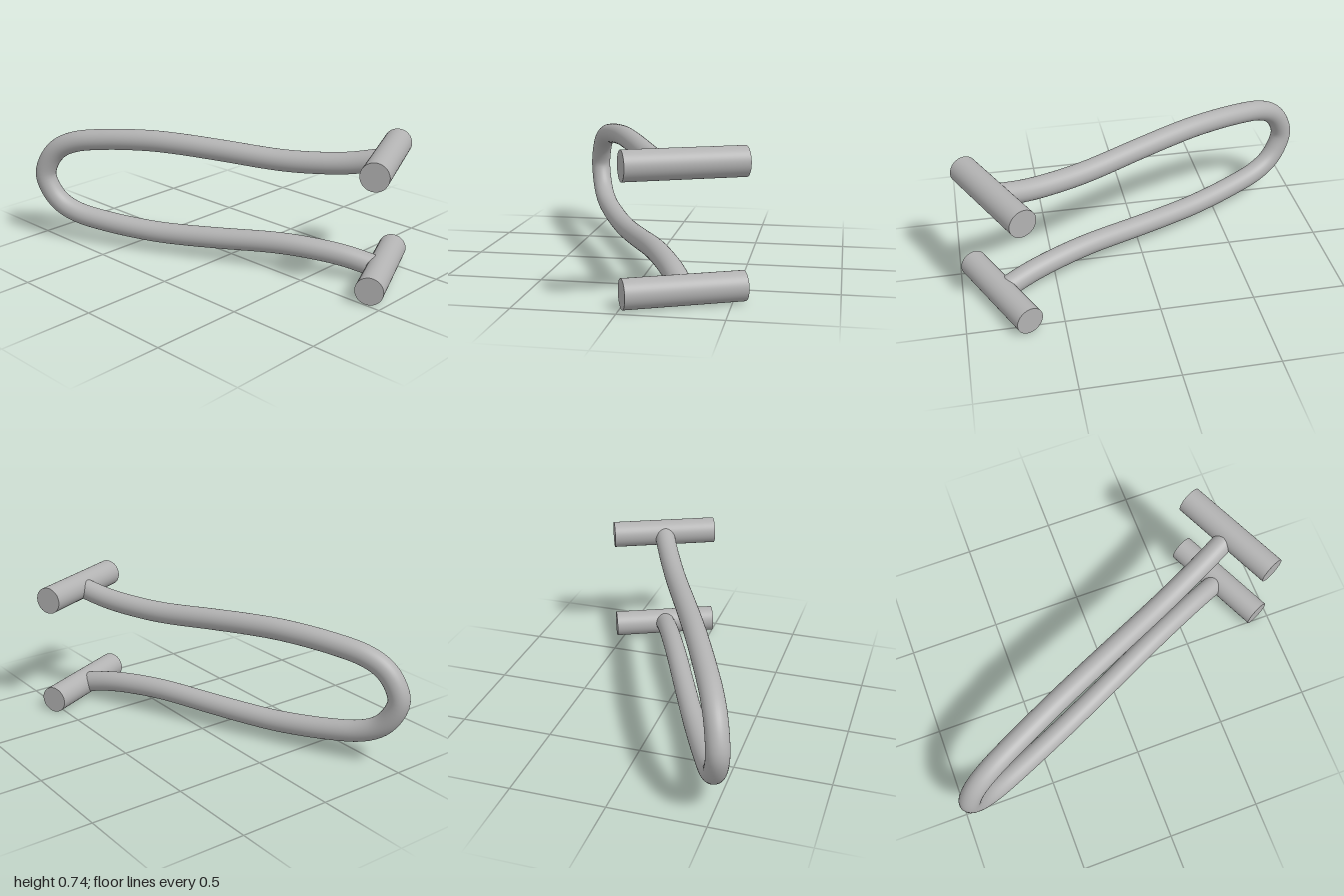
import * as THREE from 'three';

export function createModel() {
  const model = new THREE.Group();
  const grey = new THREE.MeshStandardMaterial({ color: 0xb2b2b2 });
  grey.name = 'grey';

  const midY = 0.371, barX = 0.28, barZ = 0.804, barOffset = 0.297;
  const angle = THREE.MathUtils.degToRad(24.8);

  // Two parallel cross bars
  const barGeometry = new THREE.CylinderGeometry(0.0735, 0.0735, 0.594, 48).rotateZ(Math.PI / 2);
  for (const [name, side] of [['upperBar', 1], ['lowerBar', -1]]) {
    const bar = new THREE.Mesh(barGeometry, grey);
    bar.name = name;
    bar.position.set(barX, midY + side * barOffset, barZ);
    bar.rotation.y = angle;
    model.add(bar);
  }

  // Bent rod: half profile as [z, height from the middle], mirrored downwards
  const half = [
    [0.804, 0.297], [0.63, 0.255], [0.47, 0.237], [0.3, 0.232], [0.0, 0.25],
    [-0.2, 0.26], [-0.36, 0.261], [-0.6, 0.241], [-0.77, 0.208], [-0.86, 0.16],
    [-0.915, 0.09],
  ];
  const profile = [
    ...half,
    [-0.943, 0],
    ...half.slice().reverse().map(([z, h]) => [z, -h]),
  ];
  // The rod lies in an upright plane square to the bars
  const points = profile.map(([z, h]) =>
    new THREE.Vector3(barX + (z - barZ) * Math.tan(angle), midY + h, z));
  const path = new THREE.CatmullRomCurve3(points);
  const rod = new THREE.Mesh(new THREE.TubeGeometry(path, 160, 0.057, 32), grey);
  rod.name = 'bentRod';
  model.add(rod);

  return model;
}
